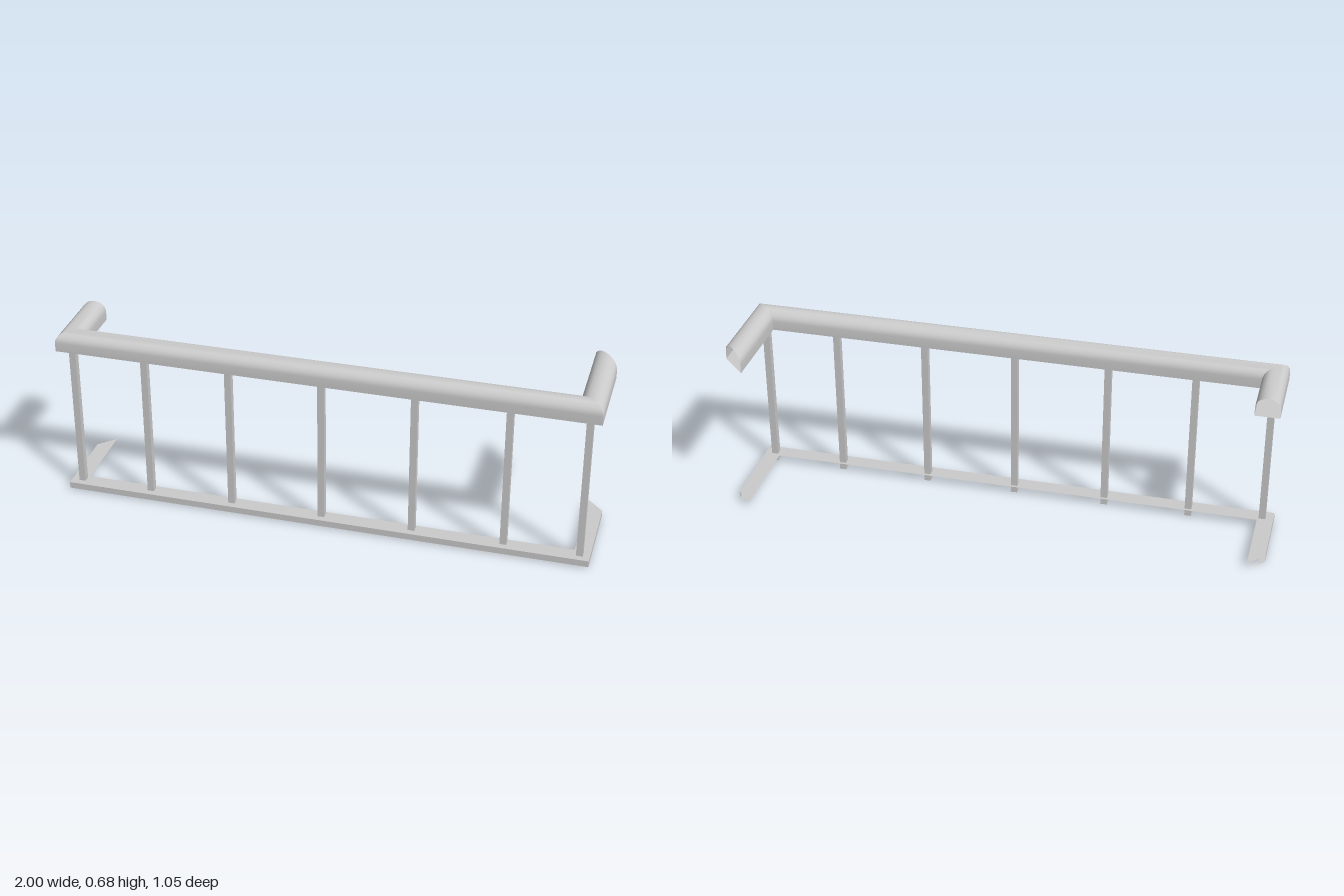
import * as THREE from 'three';
import { toCreasedNormals } from 'three/addons/utils/BufferGeometryUtils.js';

const LENGTH = 2.013; // outer length of the long run
const material = new THREE.MeshStandardMaterial({ color: 0xcccccc, side: THREE.DoubleSide });

// Sweeps a profile of [inset, height] points round the U-shaped plan with mitred corners.
// leftEnd and rightEnd give how far each return arm reaches at a given inset.
function sweepRail(name, profile, leftEnd, rightEnd) {
  const rows = profile.map(([d, y]) => [
    [d, y, -leftEnd(d)],
    [d, y, -d],
    [LENGTH - d, y, -d],
    [LENGTH - d, y, -rightEnd(d)],
  ]);
  const positions = [];
  for (let j = 0; j < rows.length - 1; j++) {
    for (let i = 0; i < 3; i++) {
      const a = rows[j][i], b = rows[j][i + 1];
      const c = rows[j + 1][i + 1], d = rows[j + 1][i];
      positions.push(...a, ...b, ...c, ...a, ...c, ...d);
    }
  }
  const geometry = new THREE.BufferGeometry();
  geometry.setAttribute('position', new THREE.Float32BufferAttribute(positions, 3));
  const mesh = new THREE.Mesh(toCreasedNormals(geometry, 0.6), material);
  mesh.name = name;
  return mesh;
}

export function createModel() {
  const railing = new THREE.Group();
  railing.name = 'railing';

  // Handrail: straight sides, arched top, flat underside, open ends
  const arch = [[0, 0.605]];
  const steps = 12;
  for (let i = 0; i <= steps; i++) {
    const a = Math.PI * (1 - i / steps);
    arch.push([0.045 + 0.045 * Math.cos(a), 0.64 + 0.038 * Math.sin(a)]);
  }
  arch.push([0.09, 0.605], [0, 0.605]);
  railing.add(sweepRail('handrail', arch, () => 0.283, (d) => 0.34 + d));

  // Bottom rail: thin channel with lower lip, outer wall and top plate
  const channel = [[0.03, 0.005], [0.008, 0.005], [0.008, 0.03], [0.068, 0.03]];
  railing.add(sweepRail('bottomRail', channel, (d) => 0.286 + d, (d) => 0.34 + d));

  // Square balusters
  const balusters = new THREE.Group();
  balusters.name = 'balusters';
  const post = new THREE.BoxGeometry(0.025, 0.605, 0.025);
  for (const u of [0.05, 0.328, 0.65, 1.0, 1.344, 1.687, 1.967]) {
    const mesh = new THREE.Mesh(post, material);
    mesh.name = 'baluster';
    mesh.position.set(u, 0.3025, -0.045);
    balusters.add(mesh);
  }
  railing.add(balusters);

  // The whole railing stands at an angle
  railing.rotation.y = -0.379;
  railing.position.set(-1, 0, -0.22);

  const model = new THREE.Group();
  model.name = 'balconyRailing';
  model.add(railing);
  return model;
}
